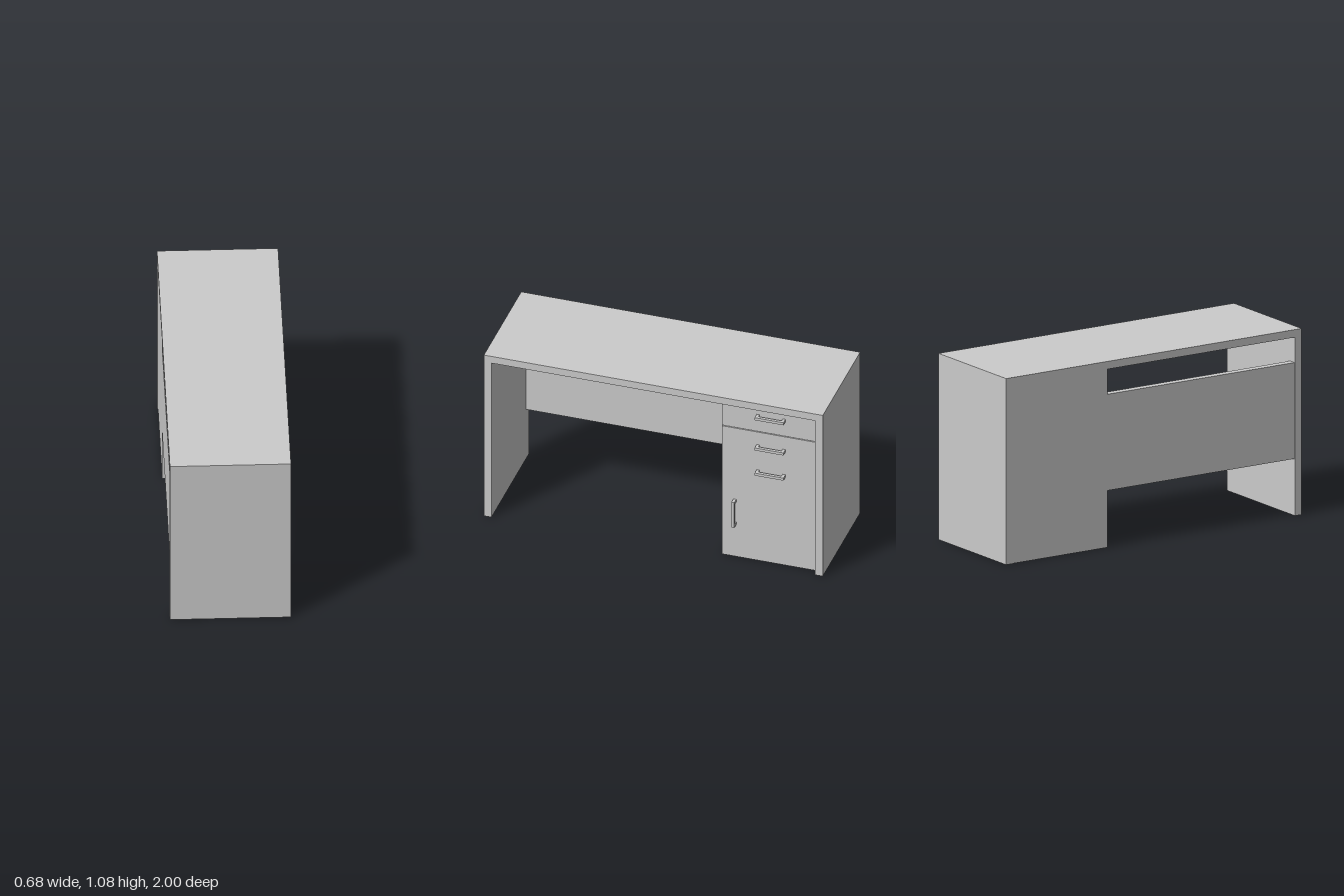
import * as THREE from 'three';

const material = new THREE.MeshStandardMaterial({ color: 0xcccccc, flatShading: true });

// Box given by its minimum and maximum corners
function box(name, [x0, y0, z0], [x1, y1, z1]) {
  const geometry = new THREE.BoxGeometry(x1 - x0, y1 - y0, z1 - z0);
  const mesh = new THREE.Mesh(geometry, material);
  mesh.name = name;
  mesh.position.set((x0 + x1) / 2, (y0 + y1) / 2, (z0 + z1) / 2);
  return mesh;
}

// Bracket pull: a U outline in the x-z plane, extruded to its thickness
function handle(name, y, z, vertical = false) {
  const length = 0.17, depth = 0.037, bar = 0.017;
  const h = length / 2;
  const shape = new THREE.Shape([
    [-h, 0], [-h + bar, 0], [-h + bar, depth - bar], [h - bar, depth - bar],
    [h - bar, 0], [h, 0], [h, depth], [-h, depth],
  ].map(([a, b]) => new THREE.Vector2(a, b)));
  const geometry = new THREE.ExtrudeGeometry(shape, { depth: bar, bevelEnabled: false });
  geometry.translate(0, 0, -bar / 2);
  // Outline length runs along y, depth along +x
  geometry.rotateZ(-Math.PI / 2);
  if (!vertical) geometry.rotateX(Math.PI / 2);
  const mesh = new THREE.Mesh(geometry, material);
  mesh.name = name;
  mesh.position.set(0.297, y, z);
  return mesh;
}

// Stepped back board: full height behind the cabinet, a raised band elsewhere
function backPanel() {
  const shape = new THREE.Shape([
    [-0.955, 0], [-0.31, 0], [-0.31, 0.33], [0.955, 0.33],
    [0.955, 0.888], [-0.31, 0.888], [-0.31, 1.035], [-0.955, 1.035],
  ].map(([z, y]) => new THREE.Vector2(-z, y)));
  const geometry = new THREE.ExtrudeGeometry(shape, { depth: 0.045, bevelEnabled: false });
  geometry.rotateY(Math.PI / 2);
  const mesh = new THREE.Mesh(geometry, material);
  mesh.name = 'backPanel';
  mesh.position.x = -0.336;
  return mesh;
}

export function createModel() {
  const desk = new THREE.Group();
  desk.name = 'desk';

  // Worktop and end panels
  desk.add(box('worktop', [-0.34, 1.035, -1], [0.34, 1.08, 1]));
  desk.add(box('endPanelFront', [-0.34, 0, 0.955], [0.34, 1.035, 1]));
  desk.add(box('endPanelBack', [-0.34, 0, -1], [0.34, 1.035, -0.955]));
  desk.add(backPanel());

  // Cabinet with a separate top drawer
  const cabinet = new THREE.Group();
  cabinet.name = 'cabinet';
  cabinet.add(box('cupboard', [-0.291, 0, -0.953], [0.297, 0.861, -0.391]));
  cabinet.add(box('topDrawer', [-0.291, 0.866, -0.953], [0.297, 1.033, -0.391]));

  // Pulls on the drawers and the door
  [0.971, 0.768, 0.599].forEach((y, i) => cabinet.add(handle(`drawerHandle${i + 1}`, y, -0.681)));
  cabinet.add(handle('doorHandle', 0.298, -0.467, true));
  desk.add(cabinet);

  return desk;
}
